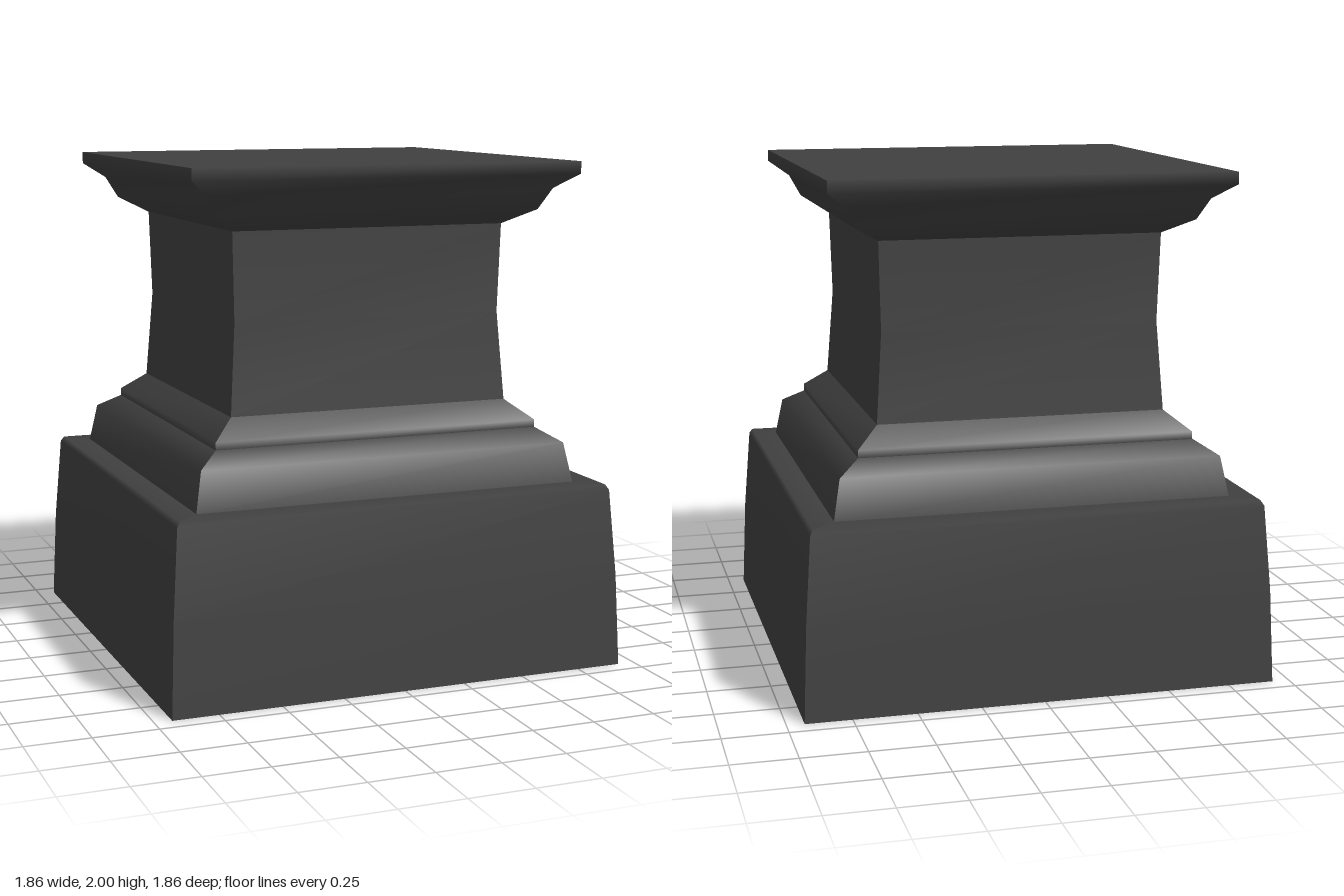
import * as THREE from 'three';
import { mergeGeometries } from 'three/addons/utils/BufferGeometryUtils.js';

// Square moulding: four mitred sides following a [half width, height] profile,
// smooth along the profile and sharp at the corners.
function squareMoulding(profile) {
  const rows = profile.slice().reverse();
  const sides = [];
  for (let i = 0; i < 4; i++) {
    const side = new THREE.PlaneGeometry(2, 1, 1, rows.length - 1);
    const p = side.attributes.position;
    for (let v = 0; v < p.count; v++) {
      const [half, y] = rows[Math.floor(v / 2)];
      p.setXYZ(v, Math.sign(p.getX(v)) * half, y, half);
    }
    side.computeVertexNormals();
    side.rotateY(i * Math.PI / 2);
    sides.push(side);
  }
  return mergeGeometries(sides);
}

export function createModel() {
  const model = new THREE.Group();
  model.name = 'pedestal';

  // The pedestal is a hollow shell, open underneath
  const stone = new THREE.MeshStandardMaterial({ color: 0x404040, side: THREE.DoubleSide });
  stone.name = 'dark stone';

  const add = (name, geometry) => {
    const mesh = new THREE.Mesh(geometry, stone);
    mesh.name = name;
    model.add(mesh);
    return mesh;
  };

  // Stacked mouldings from the ground up
  const parts = {
    plinth: [[0.932, 0], [0.917, 0.37], [0.892, 0.71], [0.88, 0.73], [0.785, 0.73]],
    lowerMoulding: [[0.785, 0.73], [0.756, 0.886], [0.67, 0.94]],
    collar: [[0.67, 0.94], [0.67, 0.97], [0.578, 1.045]],
    shaft: [[0.578, 1.045], [0.553, 1.4], [0.562, 1.75]],
    cornice: [[0.562, 1.75], [0.668, 1.81], [0.711, 1.894], [0.79, 1.952], [0.79, 2]],
  };
  for (const [name, profile] of Object.entries(parts)) add(name, squareMoulding(profile));

  // Flat top slab face
  const top = add('topFace', new THREE.PlaneGeometry(1.58, 1.58));
  top.rotation.x = -Math.PI / 2;
  top.position.y = 2;

  return model;
}
